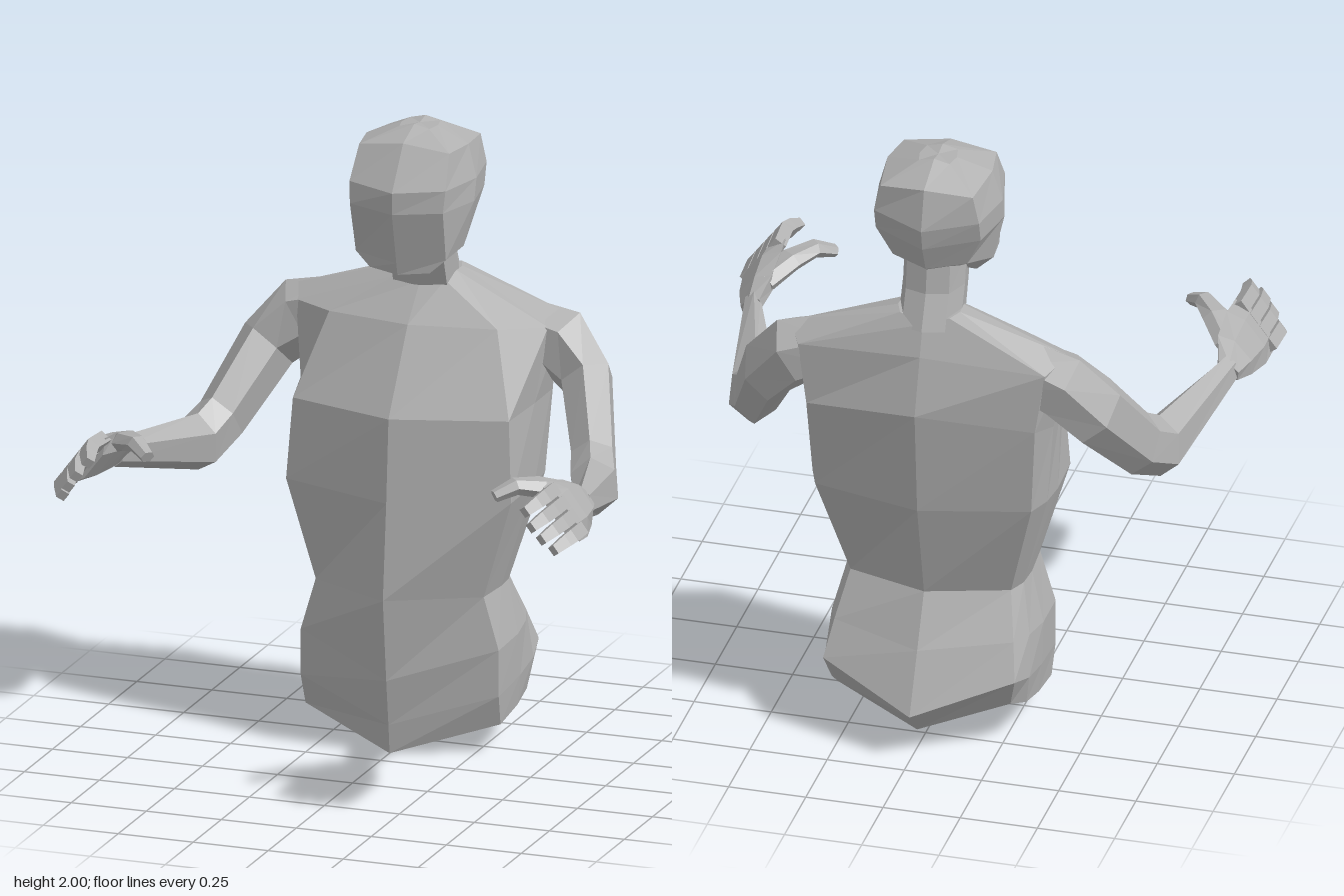
import * as THREE from 'three';

const grey = new THREE.MeshStandardMaterial({ color: 0xb0b0b0, flatShading: true });
grey.name = 'plain grey';

const V = (p) => new THREE.Vector3(p[0], p[1], p[2]);

// Skin a stack of closed rings and cap both ends; side -1 mirrors across x
function loft(name, rings, side = 1) {
  const pos = [];
  const n = rings[0].length;
  const tri = (a, b, c) => {
    for (const p of side > 0 ? [a, b, c] : [a, c, b]) pos.push(p.x * side, p.y, p.z);
  };
  for (let i = 0; i < rings.length - 1; i++) {
    for (let j = 0; j < n; j++) {
      const k = (j + 1) % n;
      tri(rings[i][j], rings[i][k], rings[i + 1][k]);
      tri(rings[i][j], rings[i + 1][k], rings[i + 1][j]);
    }
  }
  const cap = (ring, up) => {
    const c = new THREE.Vector3();
    ring.forEach((p) => c.addScaledVector(p, 1 / n));
    for (let j = 0; j < n; j++) {
      const a = ring[j], b = ring[(j + 1) % n];
      if (up) tri(c, a, b); else tri(c, b, a);
    }
  };
  cap(rings[0], false);
  cap(rings[rings.length - 1], true);
  const geo = new THREE.BufferGeometry();
  geo.setAttribute('position', new THREE.Float32BufferAttribute(pos, 3));
  geo.computeVertexNormals();
  const mesh = new THREE.Mesh(geo, grey);
  mesh.name = name;
  return mesh;
}

// Half section from front centre to back centre, completed by mirroring
function symmetric(half) {
  const left = half.map(V);
  const right = left.slice(1, -1).reverse().map((p) => new THREE.Vector3(-p.x, p.y, p.z));
  return left.concat(right);
}

// Rings along a path of [x, y, z, radius across, radius deep]
function limb(name, path, across, sides, phase, side) {
  const c = path.map(V);
  const rings = path.map((p, i) => {
    const t = new THREE.Vector3();
    if (i > 0) t.add(c[i].clone().sub(c[i - 1]).normalize());
    if (i < c.length - 1) t.add(c[i + 1].clone().sub(c[i]).normalize());
    t.normalize();
    const u = V(across);
    u.addScaledVector(t, -u.dot(t)).normalize();
    const v = t.clone().cross(u);
    return Array.from({ length: sides }, (_, j) => {
      const a = phase + (j / sides) * Math.PI * 2;
      return c[i].clone().addScaledVector(u, Math.cos(a) * p[3]).addScaledVector(v, Math.sin(a) * p[4]);
    });
  });
  return loft(name, rings, side);
}

function makeArm(side) {
  const arm = new THREE.Group();
  arm.name = side > 0 ? 'leftArm' : 'rightArm';
  // Shoulder, elbow and wrist
  arm.add(limb('armAndForearm', [
    [0.28, 1.34, -0.45, 0.09, 0.1],
    [0.43, 1.29, -0.46, 0.115, 0.115],
    [0.53, 1.19, -0.42, 0.09, 0.115],
    [0.62, 0.99, -0.24, 0.075, 0.1],
    [0.66, 0.935, -0.14, 0.08, 0.1],
    [0.775, 1.01, 0.27, 0.028, 0.05],
  ], [0.74, 0.09, -0.24], 6, Math.PI / 6, side));

  // Hand tilted so the palm faces inward and down
  const across = [0.6, -0.8, 0];
  arm.add(limb('palm', [
    [0.772, 1.01, 0.25, 0.045, 0.03],
    [0.775, 1.03, 0.32, 0.085, 0.042],
    [0.785, 1.04, 0.42, 0.105, 0.042],
    [0.79, 1.045, 0.5, 0.102, 0.03],
  ], across, 6, 0, side));
  const names = ['indexFinger', 'middleFinger', 'ringFinger', 'littleFinger'];
  const reach = [0.66, 0.685, 0.675, 0.645];
  names.forEach((name, i) => {
    const t = -0.075 + i * 0.05;
    const x = 0.795 + 0.6 * t, y = 1.05 - 0.8 * t, end = reach[i];
    arm.add(limb(name, [
      [x, y, 0.47, 0.03, 0.03],
      [x + 0.005, y + 0.004, 0.57, 0.03, 0.03],
      [x - 0.004, y - 0.003, end - 0.05, 0.028, 0.028],
      [x - 0.022, y - 0.018, end, 0.022, 0.02],
    ], across, 4, Math.PI / 4, side));
  });
  arm.add(limb('thumb', [
    [0.755, 1.06, 0.33, 0.05, 0.035],
    [0.69, 1.1, 0.42, 0.05, 0.032],
    [0.63, 1.115, 0.485, 0.033, 0.028],
    [0.578, 1.09, 0.53, 0.024, 0.02],
  ], [0.5, 0, 0.8], 6, 0, side));
  return arm;
}

export function createModel() {
  const model = new THREE.Group();
  model.name = 'figure';

  // Torso from the hips to the base of the neck
  model.add(loft('torso', [
    [[0, 0.005, -0.08], [0.325, 0.1, -0.2], [0.325, 0.12, -0.35], [0.315, 0.14, -0.46], [0.28, 0.16, -0.52], [0, 0.07, -0.6]],
    [[0, 0.1, -0.07], [0.33, 0.2, -0.17], [0.335, 0.22, -0.35], [0.33, 0.24, -0.48], [0.31, 0.27, -0.58], [0, 0.16, -0.69]],
    [[0, 0.25, -0.05], [0.33, 0.35, -0.17], [0.335, 0.36, -0.33], [0.32, 0.37, -0.44], [0.29, 0.38, -0.52], [0, 0.35, -0.6]],
    [[0, 0.52, -0.02], [0.28, 0.52, -0.17], [0.29, 0.52, -0.3], [0.285, 0.52, -0.38], [0.26, 0.52, -0.44], [0, 0.52, -0.52]],
    [[0, 0.83, -0.05], [0.375, 0.84, -0.16], [0.385, 0.85, -0.34], [0.38, 0.86, -0.45], [0.35, 0.86, -0.53], [0, 0.85, -0.6]],
    [[0, 1.1, -0.07], [0.36, 1.1, -0.18], [0.39, 1.12, -0.33], [0.4, 1.13, -0.45], [0.37, 1.16, -0.56], [0, 1.2, -0.63]],
    [[0, 1.36, -0.24], [0.28, 1.36, -0.29], [0.42, 1.36, -0.37], [0.45, 1.39, -0.45], [0.4, 1.36, -0.55], [0, 1.38, -0.57]],
    [[0, 1.47, -0.35], [0.08, 1.48, -0.36], [0.1, 1.5, -0.41], [0.1, 1.5, -0.46], [0.08, 1.5, -0.51], [0, 1.48, -0.535]],
  ].map(symmetric)));

  // Neck leaning forward into the head
  model.add(loft('neck', [
    [[0, 1.43, -0.35], [0.09, 1.44, -0.36], [0.1, 1.46, -0.45], [0.07, 1.46, -0.53], [0, 1.46, -0.55]],
    [[0, 1.56, -0.31], [0.09, 1.56, -0.32], [0.1, 1.57, -0.4], [0.07, 1.57, -0.48], [0, 1.57, -0.5]],
    [[0, 1.66, -0.29], [0.09, 1.66, -0.3], [0.1, 1.68, -0.38], [0.07, 1.7, -0.46], [0, 1.7, -0.48]],
  ].map(symmetric)));

  // Faceted head from jaw to crown
  model.add(loft('head', [
    [[0, 1.55, -0.15], [0.1, 1.56, -0.17], [0.11, 1.57, -0.3], [0.08, 1.63, -0.4], [0, 1.64, -0.47]],
    [[0, 1.59, -0.14], [0.15, 1.605, -0.18], [0.165, 1.62, -0.3], [0.12, 1.67, -0.45], [0, 1.66, -0.5]],
    [[0, 1.76, -0.1], [0.155, 1.77, -0.14], [0.2, 1.77, -0.3], [0.17, 1.77, -0.47], [0, 1.75, -0.54]],
    [[0, 1.83, -0.1], [0.16, 1.84, -0.15], [0.2, 1.84, -0.32], [0.17, 1.84, -0.49], [0, 1.82, -0.555]],
    [[0, 1.965, -0.2], [0.15, 1.945, -0.21], [0.17, 1.945, -0.33], [0.15, 1.93, -0.49], [0, 1.95, -0.52]],
    [[0, 2, -0.3], [0.05, 1.988, -0.3], [0.06, 1.988, -0.35], [0.05, 1.988, -0.4], [0, 2, -0.4]],
  ].map(symmetric)));

  model.add(makeArm(1), makeArm(-1));
  return model;
}
